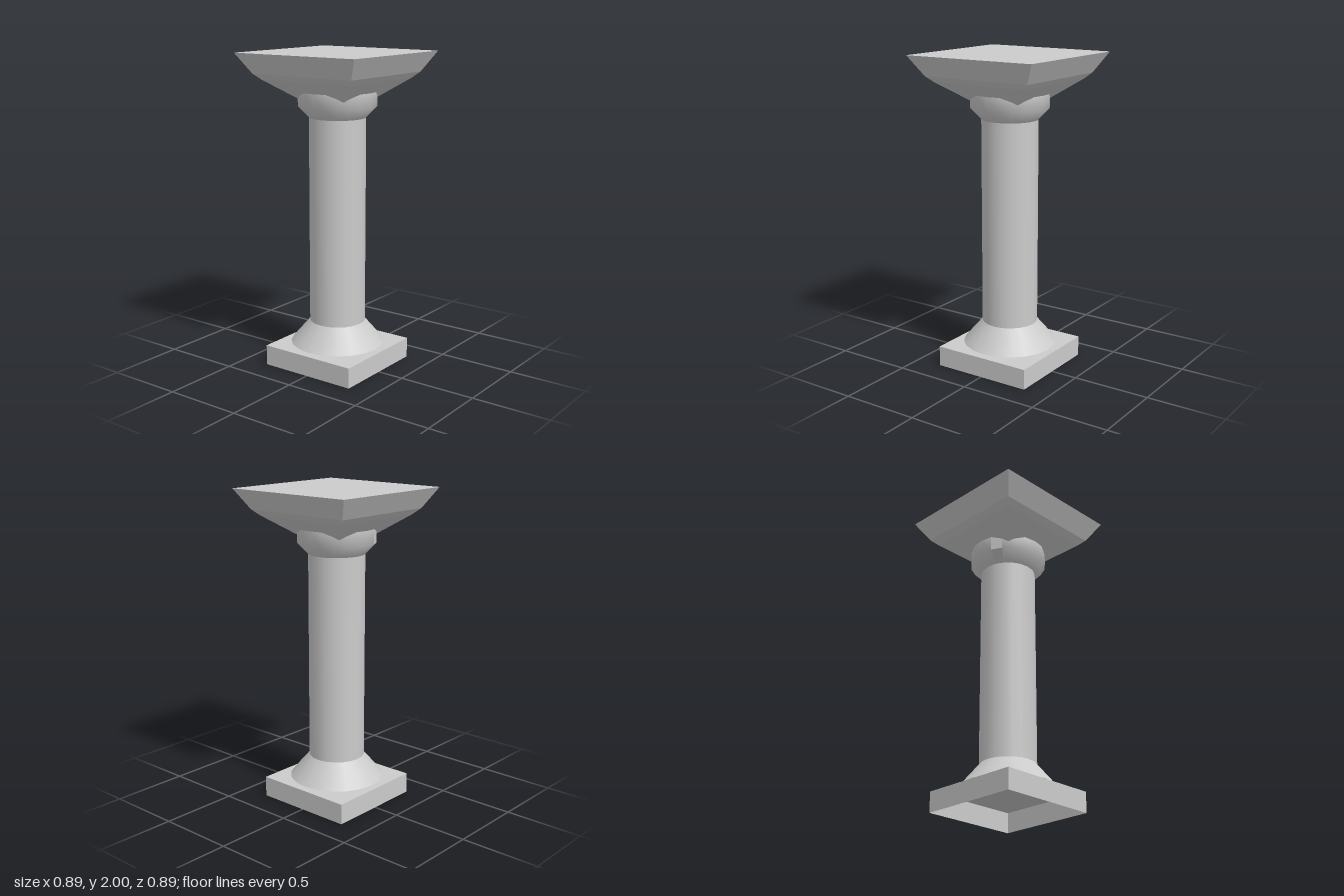
import * as THREE from 'three';

const SIDES = 20;
const smooth = new THREE.MeshStandardMaterial({ color: 0xcccccc, side: THREE.DoubleSide });
const faceted = new THREE.MeshStandardMaterial({ color: 0xcccccc, side: THREE.DoubleSide, flatShading: true });

// Turned round part from [radius, height] pairs, listed bottom to top
function turned(name, profile, start = 0, count = SIDES, material = smooth) {
  const step = (Math.PI * 2) / SIDES;
  const points = profile.map(([r, y]) => new THREE.Vector2(r, y));
  const mesh = new THREE.Mesh(new THREE.LatheGeometry(points, count, start * step, count * step), material);
  mesh.name = name;
  return mesh;
}

// Square part from [half width, height] pairs, listed bottom to top
function square(name, profile) {
  const points = profile.map(([h, y]) => new THREE.Vector2(h * Math.SQRT2, y));
  const mesh = new THREE.Mesh(new THREE.LatheGeometry(points, 4, Math.PI / 4), faceted);
  mesh.name = name;
  return mesh;
}

export function createModel() {
  const column = new THREE.Group();
  column.name = 'column';

  // Hollow plinth, open underneath
  column.add(square('plinth', [[0.327, 0], [0.327, 0.13], [0, 0.13]]));

  // Flared foot, floating just above the plinth, and the shaft
  column.add(turned('flaredFoot', [[0.3, 0.145], [0.177, 0.29]]));
  column.add(turned('shaft', [[0.177, 0.29], [0.177, 1.6]]));

  // Collar, with a single flat panel at the back
  const collar = [[0.177, 1.6], [0.245, 1.67], [0.245, 1.762]];
  column.add(turned('collar', collar, 12, SIDES - 1));
  column.add(turned('collarPanel', collar, 11, 1, faceted));

  // Square capital widening to a flat top
  column.add(square('capital', [
    [0, 1.72], [0.175, 1.72], [0.328, 1.836], [0.367, 1.873], [0.444, 2], [0, 2],
  ]));
  return column;
}
